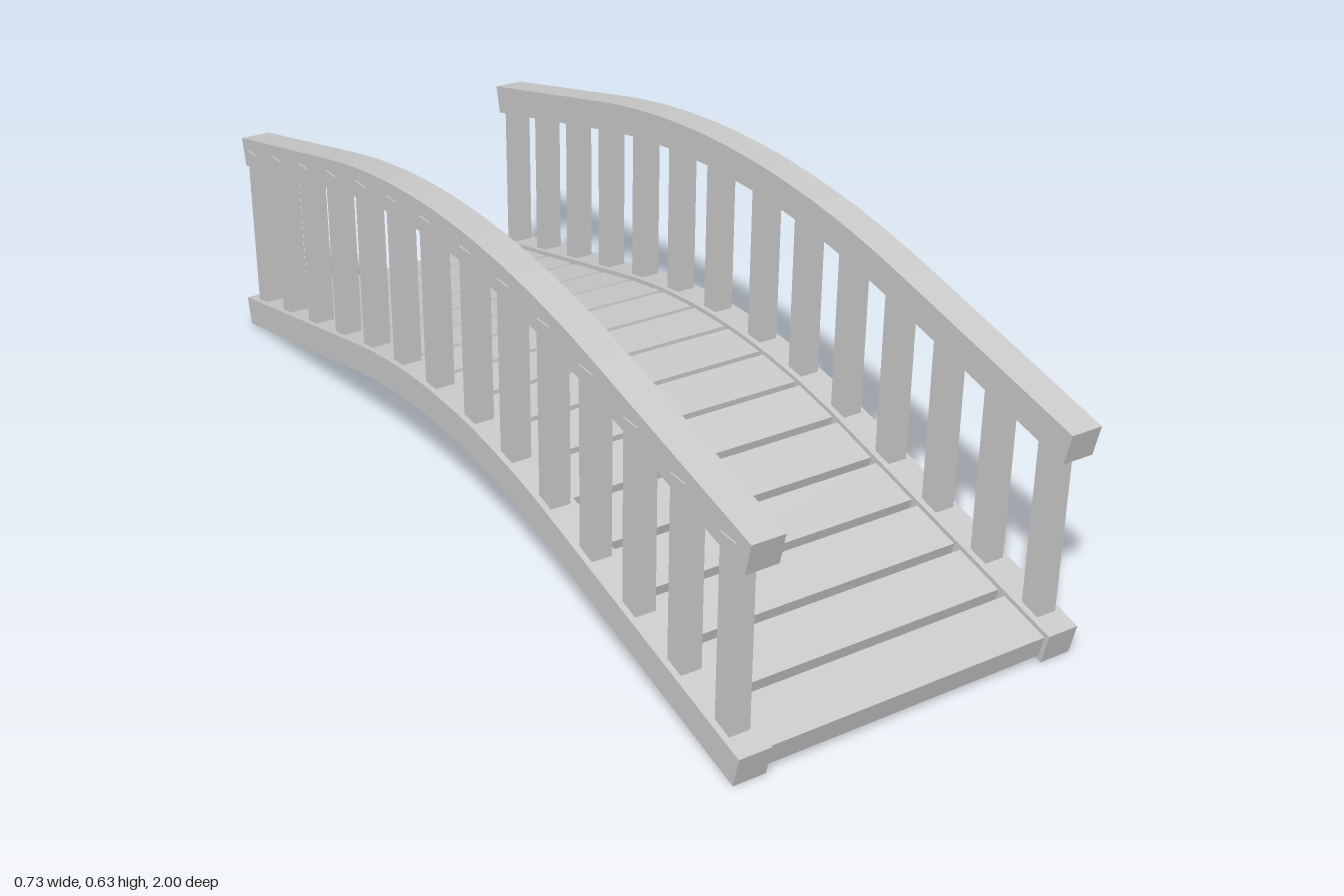
import * as THREE from 'three';

const material = new THREE.MeshStandardMaterial({ color: 0xcccccc });
const THICK = 0.063;   // depth of beams and rails
const WIDTH = 0.065;   // their width across the bridge

// Arch outline: straight ramps that blend into a parabolic crown for |z| < bend
function arch(crown, slope, bend, end) {
  const y = (z) => {
    const a = Math.abs(z);
    return a < bend ? crown - slope * a * a / (2 * bend) : crown - slope * (a - bend / 2);
  };
  const angle = (z) => Math.atan(-slope * THREE.MathUtils.clamp(z / bend, -1, 1));
  return { y, angle, bend, end };
}

const beamArch = arch(0.248, 0.231, 0.4, 1.0);
const railArch = arch(0.628, 0.235, 0.525, 0.993);

// Bar of constant thickness hanging below an arch line
function archedBar(curve, name, x) {
  const steps = 20, zs = [-curve.end];
  for (let i = 0; i <= steps; i++) zs.push(curve.bend * (2 * i / steps - 1));
  zs.push(curve.end);
  const top = zs.map((z) => new THREE.Vector2(z, curve.y(z)));
  const bottom = zs.map((z) => {
    const a = curve.angle(z);
    return new THREE.Vector2(z + Math.sin(a) * THICK, curve.y(z) - Math.cos(a) * THICK);
  });
  const shape = new THREE.Shape([...bottom, ...top.reverse()]);
  const geometry = new THREE.ExtrudeGeometry(shape, { depth: WIDTH, bevelEnabled: false });
  geometry.translate(0, 0, -WIDTH / 2).rotateY(-Math.PI / 2);
  const mesh = new THREE.Mesh(geometry, material);
  mesh.name = name;
  mesh.position.x = x;
  return mesh;
}

// One side: lower beam, handrail and the balusters between them
function railing(name, beamX, railX, postX) {
  const side = new THREE.Group();
  side.name = name;
  side.add(archedBar(beamArch, 'sideBeam', beamX), archedBar(railArch, 'handrail', railX));
  for (let i = 0; i < 7; i++) {
    for (const s of [1, -1]) {
      const z = s * (0.08 + i * 0.1423);
      const low = beamArch.y(z) - 0.03, high = railArch.y(z) - 0.03;
      const post = new THREE.Mesh(new THREE.BoxGeometry(0.041, high - low, 0.042), material);
      post.name = 'baluster';
      post.position.set(postX, (low + high) / 2, z);
      side.add(post);
    }
  }
  return side;
}

export function createModel() {
  const bridge = new THREE.Group();
  bridge.name = 'footbridge';
  bridge.add(railing('leftRailing', 0.3205, 0.33, 0.3205));
  bridge.add(railing('rightRailing', -0.3325, -0.3175, -0.3325));

  // Deck planks, each tilted to follow the arch
  const deck = new THREE.Group();
  deck.name = 'deck';
  const plankGeometry = new THREE.BoxGeometry(0.592, 0.045, 0.111);
  for (let i = 0; i < 16; i++) {
    const z = -0.938 + i * 0.125;
    const plank = new THREE.Mesh(plankGeometry, material);
    const a = beamArch.angle(z);
    plank.name = 'plank';
    plank.position.set(-0.006, beamArch.y(z) - 0.032 * Math.cos(a), z + 0.032 * Math.sin(a));
    plank.rotation.x = -a;
    deck.add(plank);
  }
  bridge.add(deck);
  return bridge;
}
